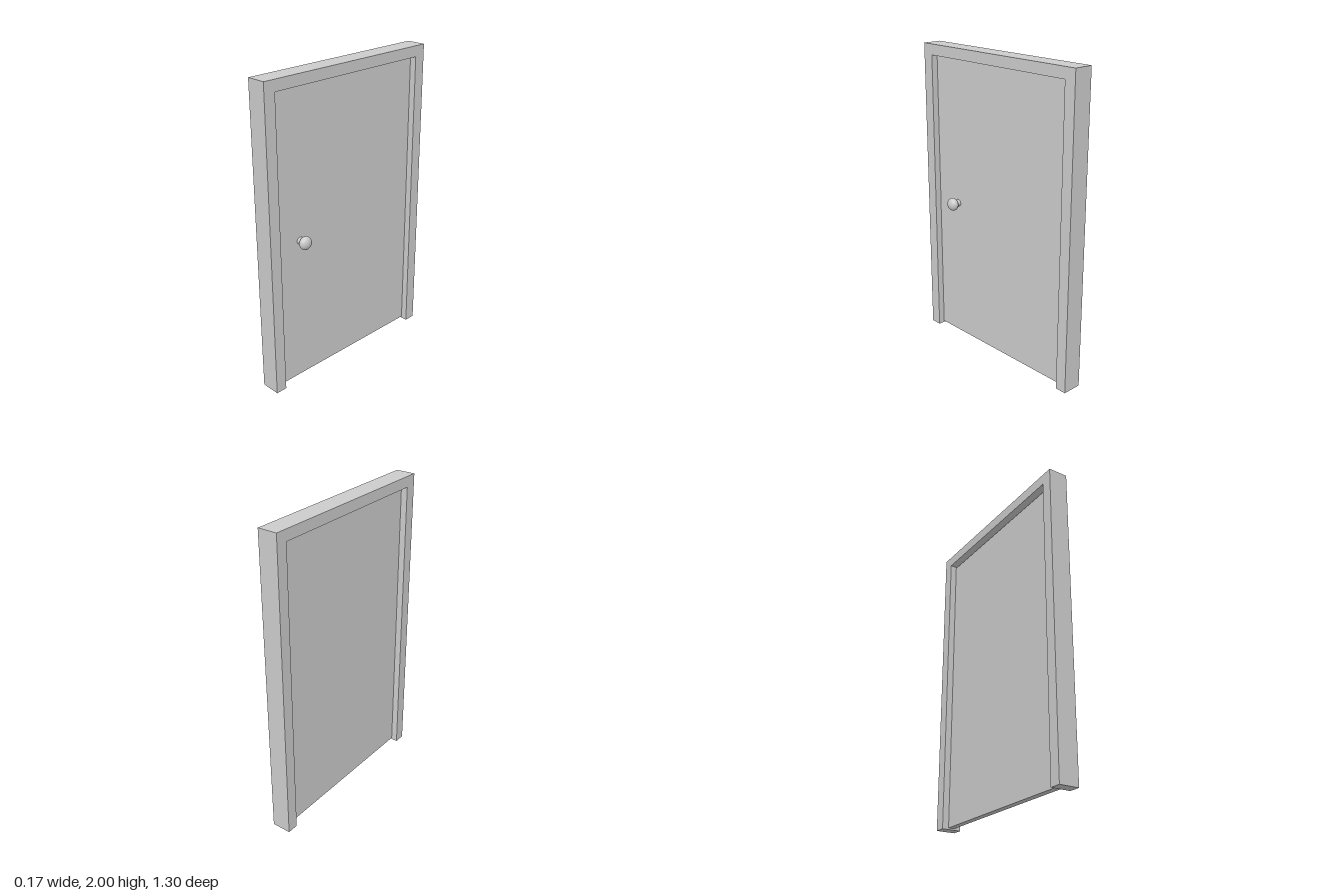
import * as THREE from 'three';

const material = new THREE.MeshStandardMaterial({ color: 0xcccccc });

function addPart(group, name, geometry, x, y, z) {
  const mesh = new THREE.Mesh(geometry, material);
  mesh.name = name;
  mesh.position.set(x, y, z);
  group.add(mesh);
  return mesh;
}

export function createModel() {
  const group = new THREE.Group();
  group.name = 'door';
  const centreX = -0.019, depth = 0.128;
  const halfWidth = 0.65, innerHalf = 0.575, height = 2, innerTop = 1.93;

  // Frame: an upside-down U, extruded through the wall thickness
  const outline = new THREE.Shape([
    [-halfWidth, 0], [-innerHalf, 0], [-innerHalf, innerTop], [innerHalf, innerTop],
    [innerHalf, 0], [halfWidth, 0], [halfWidth, height], [-halfWidth, height],
  ].map(([a, b]) => new THREE.Vector2(a, b)));
  const frame = new THREE.ExtrudeGeometry(outline, { depth, bevelEnabled: false });
  frame.translate(0, 0, -depth / 2).rotateY(Math.PI / 2);
  addPart(group, 'frame', frame, centreX, 0, 0);

  // Door leaf, with narrow gaps above and below
  const bottom = 0.01, top = 1.922;
  addPart(group, 'doorLeaf', new THREE.BoxGeometry(0.042, top - bottom, innerHalf * 2),
    centreX, (top + bottom) / 2, 0);

  // Knob: a short stem and a flattened ball, on one side only
  const knob = new THREE.Group();
  knob.name = 'knob';
  knob.position.set(0, 0.967, 0.388);
  const stem = new THREE.CylinderGeometry(0.024, 0.024, 0.05, 16).rotateZ(-Math.PI / 2);
  addPart(knob, 'knobStem', stem, 0.022, 0, 0);
  const ball = new THREE.SphereGeometry(0.043, 16, 12).rotateZ(-Math.PI / 2);
  addPart(knob, 'knobBall', ball, 0.051, 0, 0).scale.x = 0.74;
  group.add(knob);

  return group;
}
